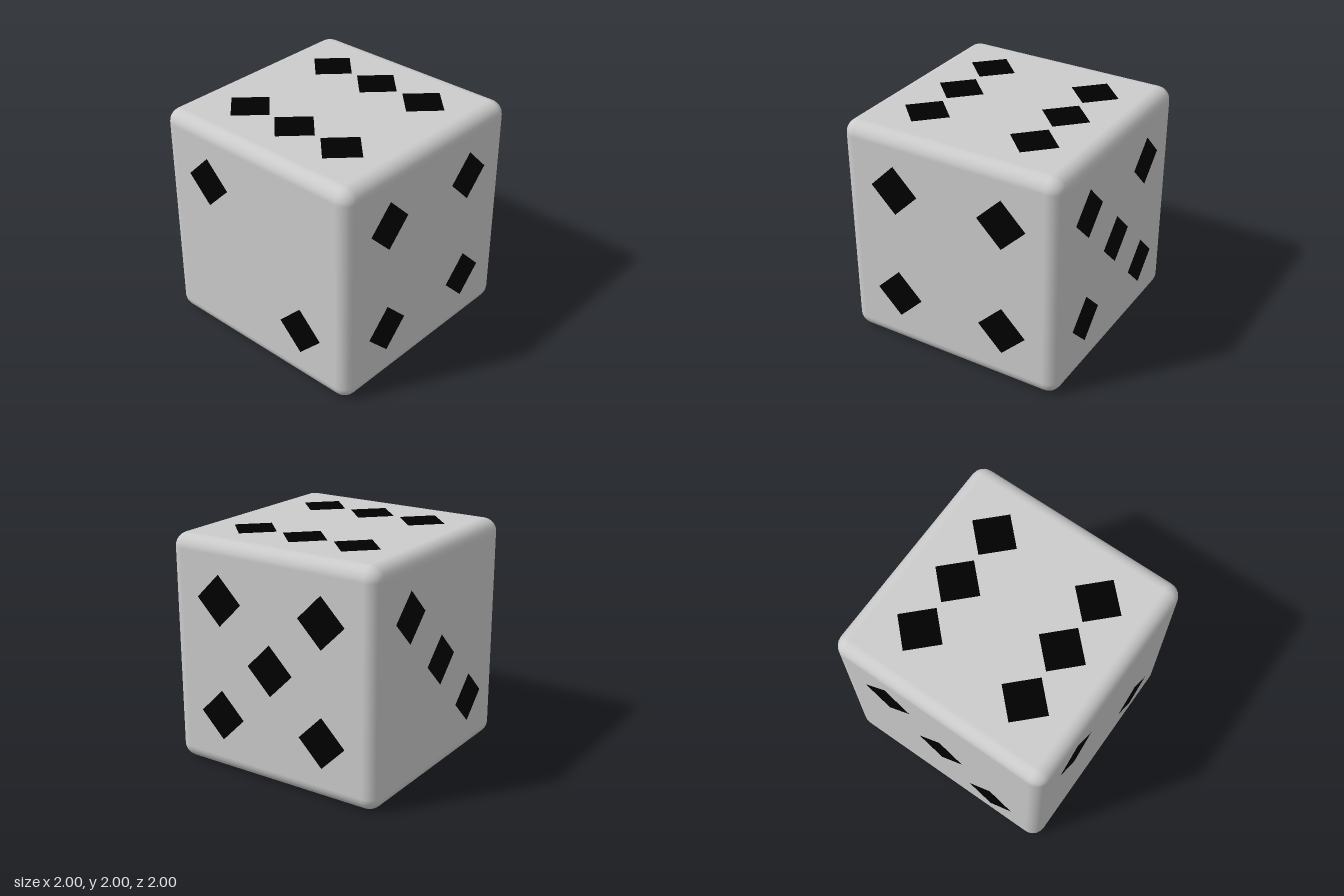
import * as THREE from 'three';
import { RoundedBoxGeometry } from 'three/addons/geometries/RoundedBoxGeometry.js';

const RADIUS = 0.12; // rounded edge
const PIP = 0.22;    // half diagonal of a diamond pip
const DEPTH = 0.06;  // recess of a pip
const S = 0.5;       // pip spacing

const bodyMaterial = new THREE.MeshStandardMaterial({ color: 0xcccccc });
const pipMaterial = new THREE.MeshStandardMaterial({ color: 0x000000 });
const wallMaterial = new THREE.MeshStandardMaterial({ color: 0x000000, side: THREE.BackSide });

// Rounded edges and corners: a rounded box without its flat sides
function createShell() {
  const box = new RoundedBoxGeometry(2, 2, 2, 3, RADIUS);
  const p = box.attributes.position, n = box.attributes.normal;
  const positions = [], normals = [];
  for (let i = 0; i < p.count; i += 3) {
    const corners = [i, i + 1, i + 2];
    const flat = ['getX', 'getY', 'getZ'].some(get => corners.every(c => Math.abs(n[get](c)) > 0.9999));
    if (flat) continue;
    for (const c of corners) {
      positions.push(p.getX(c), p.getY(c), p.getZ(c));
      normals.push(n.getX(c), n.getY(c), n.getZ(c));
    }
  }
  const geometry = new THREE.BufferGeometry();
  geometry.setAttribute('position', new THREE.Float32BufferAttribute(positions, 3));
  geometry.setAttribute('normal', new THREE.Float32BufferAttribute(normals, 3));
  const shell = new THREE.Mesh(geometry, bodyMaterial);
  shell.name = 'roundedEdges';
  return shell;
}

// Recessed diamond: four walls and a floor
function createPip(x, y) {
  const pip = new THREE.Group();
  pip.name = 'pip';
  const wallGeometry = new THREE.CylinderGeometry(PIP, PIP, DEPTH, 4, 1, true).rotateX(Math.PI / 2);
  const walls = new THREE.Mesh(wallGeometry, wallMaterial);
  walls.name = 'pipWalls';
  walls.position.z = -DEPTH / 2;
  const floor = new THREE.Mesh(new THREE.CircleGeometry(PIP, 4), pipMaterial);
  floor.name = 'pipFloor';
  floor.position.z = -DEPTH;
  pip.add(walls, floor);
  pip.position.set(x, y, 1);
  return pip;
}

// Flat side with diamond openings, built facing +z and then turned
function createSide({ name, spots, rx = 0, ry = 0 }) {
  const side = new THREE.Group();
  side.name = name;
  const h = 1 - RADIUS;
  const shape = new THREE.Shape([[-h, -h], [h, -h], [h, h], [-h, h]].map(c => new THREE.Vector2(...c)));
  for (const [x, y] of spots) {
    const diamond = [[PIP, 0], [0, -PIP], [-PIP, 0], [0, PIP]];
    shape.holes.push(new THREE.Path(diamond.map(([u, v]) => new THREE.Vector2(x + u, y + v))));
    side.add(createPip(x, y));
  }
  const panel = new THREE.Mesh(new THREE.ShapeGeometry(shape), bodyMaterial);
  panel.name = name + 'Panel';
  panel.position.z = 1;
  side.add(panel);
  side.rotation.set(rx, ry, 0);
  return side;
}

export function createModel() {
  const model = new THREE.Group();
  model.name = 'die';
  const body = new THREE.Group();
  body.name = 'body';
  body.position.y = 1;

  // Pip layouts, as seen facing each side
  const one = [[0, 0]];
  const two = [[-S, S], [S, -S]];
  const three = [...two, ...one];
  const four = [...two, [S, S], [-S, -S]];
  const five = [...four, ...one];
  const six = [...four, [-S, 0], [S, 0]];
  const q = Math.PI / 2;
  const sides = [
    { name: 'frontSide', spots: four },
    { name: 'backSide', spots: three, ry: Math.PI },
    { name: 'leftSide', spots: five, ry: q },
    { name: 'rightSide', spots: two, ry: -q },
    { name: 'topSide', spots: six, rx: -q },
    { name: 'bottomSide', spots: one, rx: q },
  ];

  body.add(createShell(), ...sides.map(createSide));
  model.add(body);
  return model;
}
